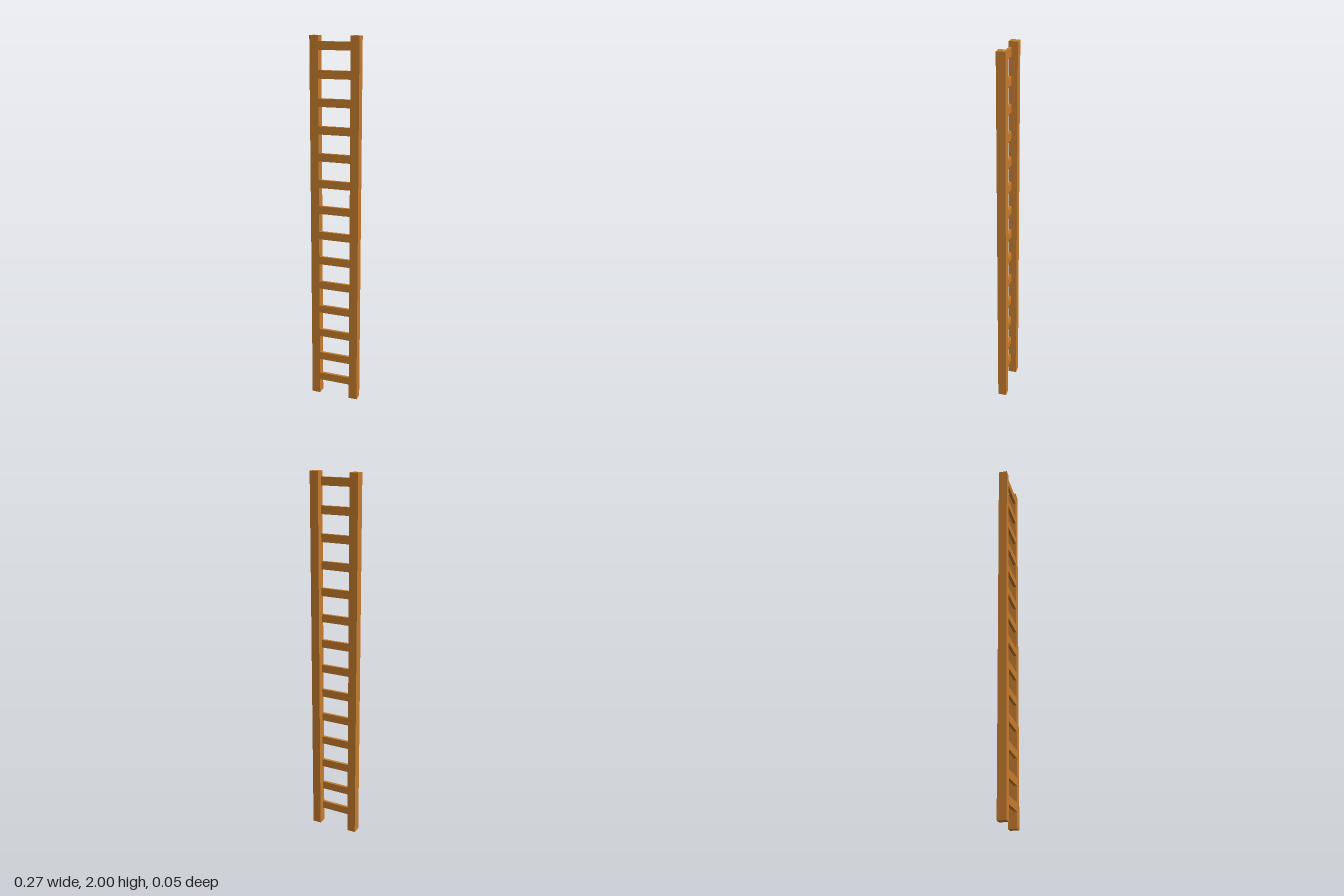
import * as THREE from 'three';

export function createModel() {
  const ladder = new THREE.Group();
  ladder.name = 'ladder';
  const wood = new THREE.MeshStandardMaterial({ color: 0xc67c2e });
  wood.name = 'wood';

  const addBoard = (name, size, position) => {
    const mesh = new THREE.Mesh(new THREE.BoxGeometry(...size), wood);
    mesh.name = name;
    mesh.position.set(...position);
    ladder.add(mesh);
  };

  // Two square side rails
  const railWidth = 0.047, railX = 0.1115;
  addBoard('leftRail', [railWidth, 2, railWidth], [railX, 1, 0]);
  addBoard('rightRail', [railWidth, 2, railWidth], [-railX, 1, 0]);

  // Flat rungs flush with the front of the rails; the lowest sits closer to its neighbour
  const rungDepth = 0.016, rungCount = 14;
  const rungLength = 2 * railX - railWidth;
  for (let i = 0; i < rungCount; i++) {
    const y = i === 0 ? 0.105 : 0.233 + (i - 1) * 0.143;
    addBoard(`rung${i + 1}`, [rungLength, 0.043, rungDepth], [0, y, (railWidth - rungDepth) / 2]);
  }
  return ladder;
}
